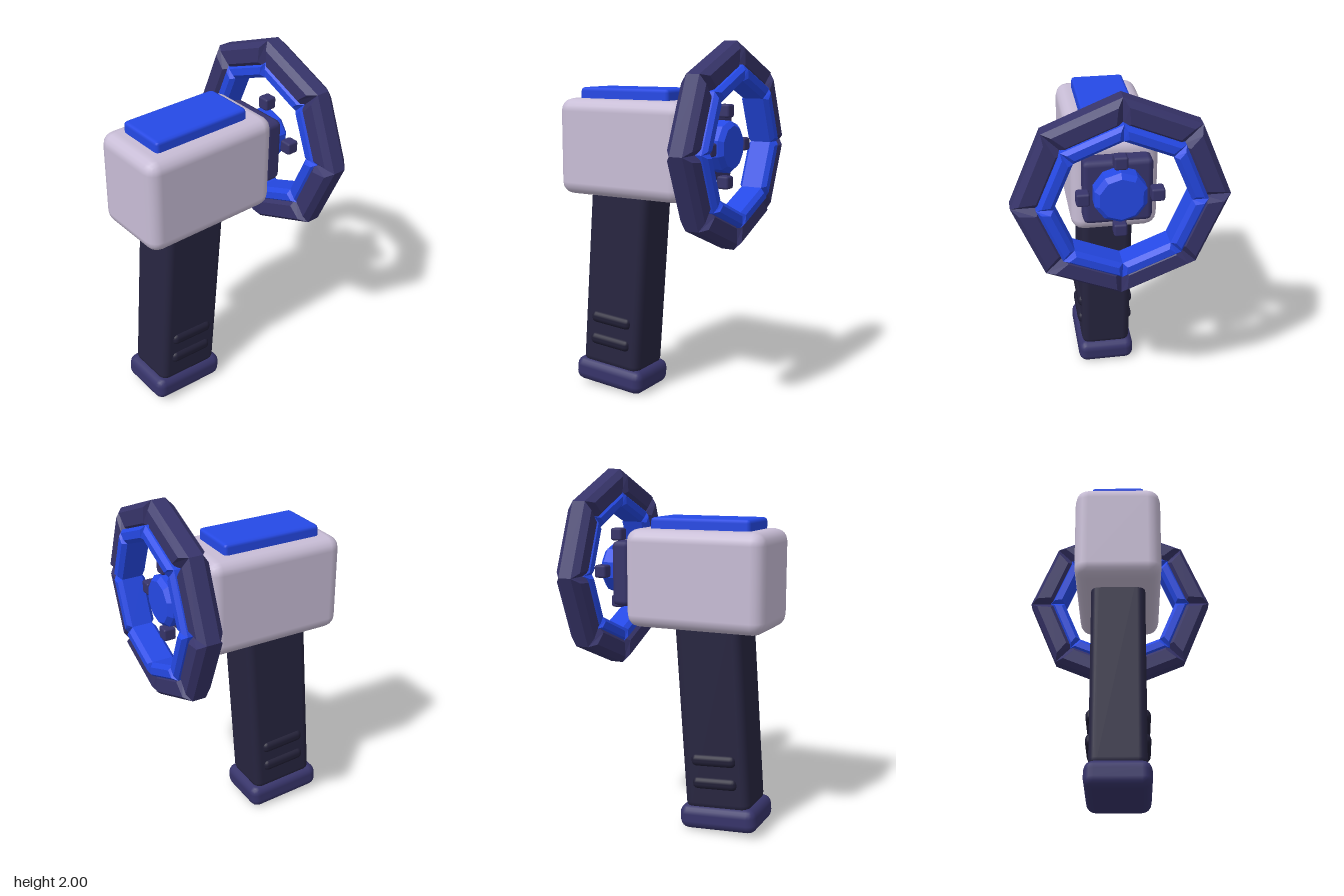
import * as THREE from 'three';
import { RoundedBoxGeometry } from 'three/addons/geometries/RoundedBoxGeometry.js';

const mat = (color, flatShading = false) => new THREE.MeshStandardMaterial({ color, flatShading });

export function createModel() {
  const model = new THREE.Group();
  const indigo = mat(0x37346a), indigoFlat = mat(0x37346a, true);
  const blue = mat(0x2549e6), blueFlat = mat(0x2549e6, true);
  const shell = mat(0xc8bdd6), gripDark = mat(0x272540), ribDark = mat(0x211f36);

  const add = (parent, name, geometry, material, x, y, z) => {
    const mesh = new THREE.Mesh(geometry, material);
    mesh.name = name;
    mesh.position.set(x, y, z);
    parent.add(mesh);
    return mesh;
  };
  const box = (w, h, d, radius, segments = 2) => new RoundedBoxGeometry(w, h, d, segments, radius);

  // Main housing and its top panel
  add(model, 'housing', box(0.46, 0.54, 0.8, 0.07), shell, 0, 1.42, 0.132);
  add(model, 'topPanel', box(0.29, 0.1, 0.575, 0.02, 1), blue, 0, 1.7, 0.143);

  // Slanted handle with foot and side ribs
  const handle = new THREE.Group();
  handle.name = 'handle';
  handle.position.z = 0.265;
  handle.rotation.x = -0.07;
  model.add(handle);
  add(handle, 'handleGrip', box(0.29, 1.12, 0.382, 0.045), gripDark, 0, 0.69, 0);
  add(handle, 'handleFoot', box(0.335, 0.14, 0.455, 0.05), indigo, 0, 0.087, 0);
  for (const y of [0.295, 0.427]) {
    add(handle, 'gripRib', box(0.33, 0.07, 0.265, 0.03), ribDark, 0, y, 0);
  }

  // Rear mount, hub and four studs around it
  add(model, 'rearMount', box(0.36, 0.36, 0.11, 0.03, 1), indigo, 0, 1.437, -0.313);
  const hubProfile = [[0, 0], [0.14, 0], [0.14, 0.085], [0.115, 0.11], [0, 0.11]]
    .map(([r, h]) => new THREE.Vector2(r, h));
  const hub = add(model, 'hub', new THREE.LatheGeometry(hubProfile, 10), blueFlat, 0, 1.45, -0.355);
  hub.rotation.x = -Math.PI / 2;
  for (let i = 0; i < 4; i++) {
    const a = i * Math.PI / 2;
    add(model, 'stud', box(0.07, 0.07, 0.07, 0.012, 1), indigo,
      0.19 * Math.cos(a), 1.45 + 0.19 * Math.sin(a), -0.415);
  }

  // Eight-sided rings made of mitred bars with bevelled edges
  const ring = (name, outer, inner, zBack, zFront, bevel, material) => {
    const group = new THREE.Group();
    group.name = name;
    group.position.set(0, 1.45, zBack + bevel);
    const c = Math.cos(Math.PI / 4), s = Math.sin(Math.PI / 4);
    const shape = new THREE.Shape([[inner, 0], [outer, 0], [outer * c, outer * s], [inner * c, inner * s]]
      .map(([x, y]) => new THREE.Vector2(x, y)));
    const geometry = new THREE.ExtrudeGeometry(shape, {
      depth: zFront - zBack - 2 * bevel, bevelEnabled: true, bevelSegments: 1,
      bevelSize: bevel, bevelThickness: bevel, bevelOffset: -bevel,
    });
    for (let i = 0; i < 8; i++) {
      add(group, name + 'Bar', geometry, material, 0, 0, 0).rotation.z = i * Math.PI / 4;
    }
    model.add(group);
  };
  ring('outerRing', 0.553, 0.405, -0.508, -0.366, 0.034, indigoFlat);
  ring('innerRing', 0.43, 0.345, -0.533, -0.372, 0.022, blueFlat);

  return model;
}
